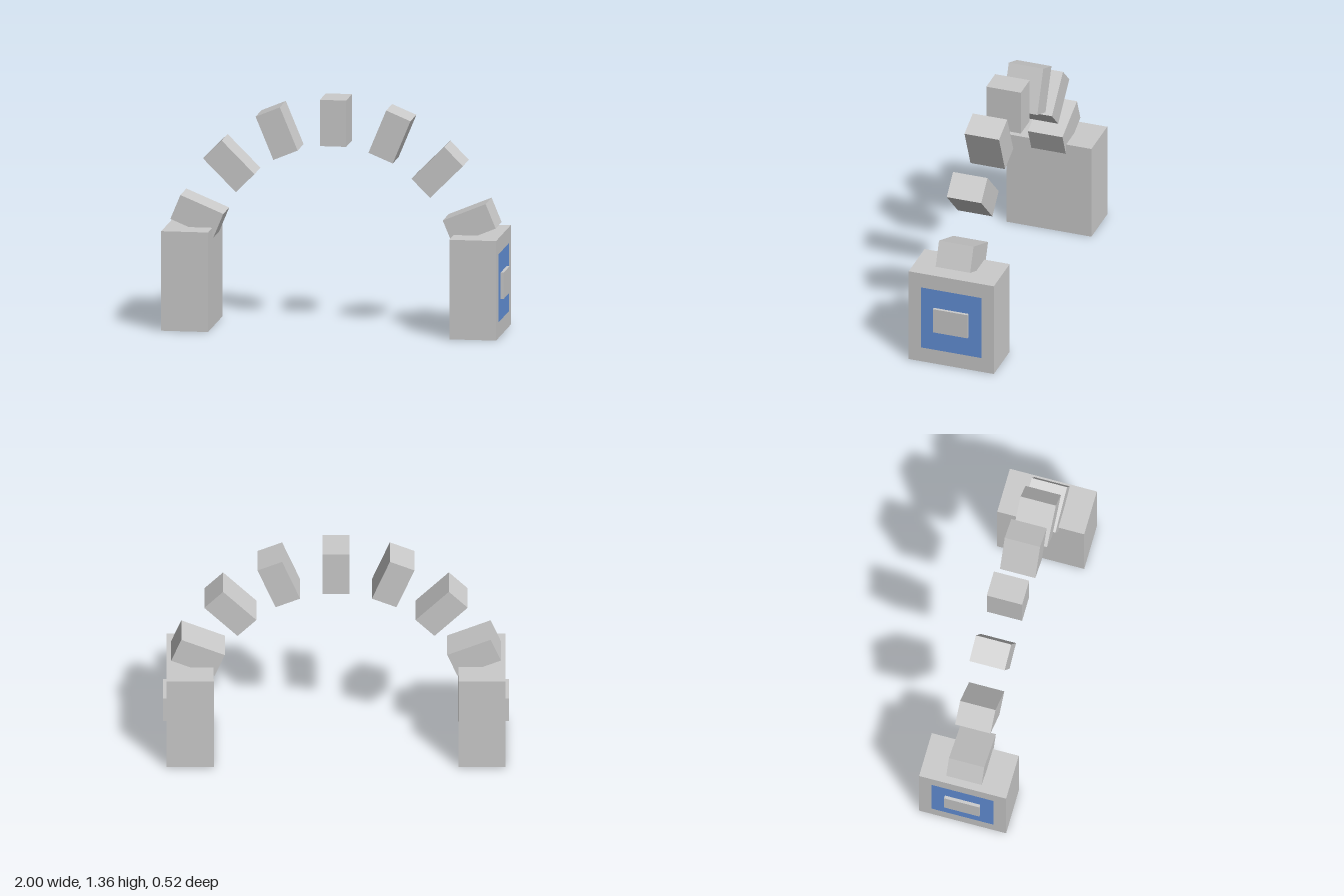
import * as THREE from 'three';

export function createModel() {
  const group = new THREE.Group();
  const grey = new THREE.MeshStandardMaterial({ color: 0xcccccc, flatShading: true });
  const blue = new THREE.MeshStandardMaterial({ color: 0x6492db });

  const add = (name, geometry, material, x, y) => {
    const mesh = new THREE.Mesh(geometry, material);
    mesh.name = name;
    mesh.position.set(x, y, 0);
    group.add(mesh);
    return mesh;
  };

  // Two pillars, each with a thin coloured panel on its outer face
  const pillarGeometry = new THREE.BoxGeometry(0.274, 0.585, 0.522);
  const panelGeometry = new THREE.PlaneGeometry(0.37, 0.4);
  for (const side of [-1, 1]) {
    const label = side > 0 ? 'left' : 'right';
    add(label + 'Pillar', pillarGeometry, grey, side * 0.844, 0.2925);
    const panel = add(label + 'Panel', panelGeometry, blue, side * 0.982, 0.2925);
    panel.rotation.y = side * Math.PI / 2;
  }

  // Nine separate blocks follow a half ellipse; the end ones sink into the pillars
  const blockGeometry = new THREE.BoxGeometry(0.154, 0.272, 0.212);
  for (let i = 0; i < 9; i++) {
    const a = (i / 8 - 0.5) * Math.PI;
    const block = add('archBlock' + (i + 1), blockGeometry, grey,
      0.864 * Math.sin(a), 0.295 + 0.925 * Math.cos(a));
    block.rotation.z = -a;
  }
  return group;
}
